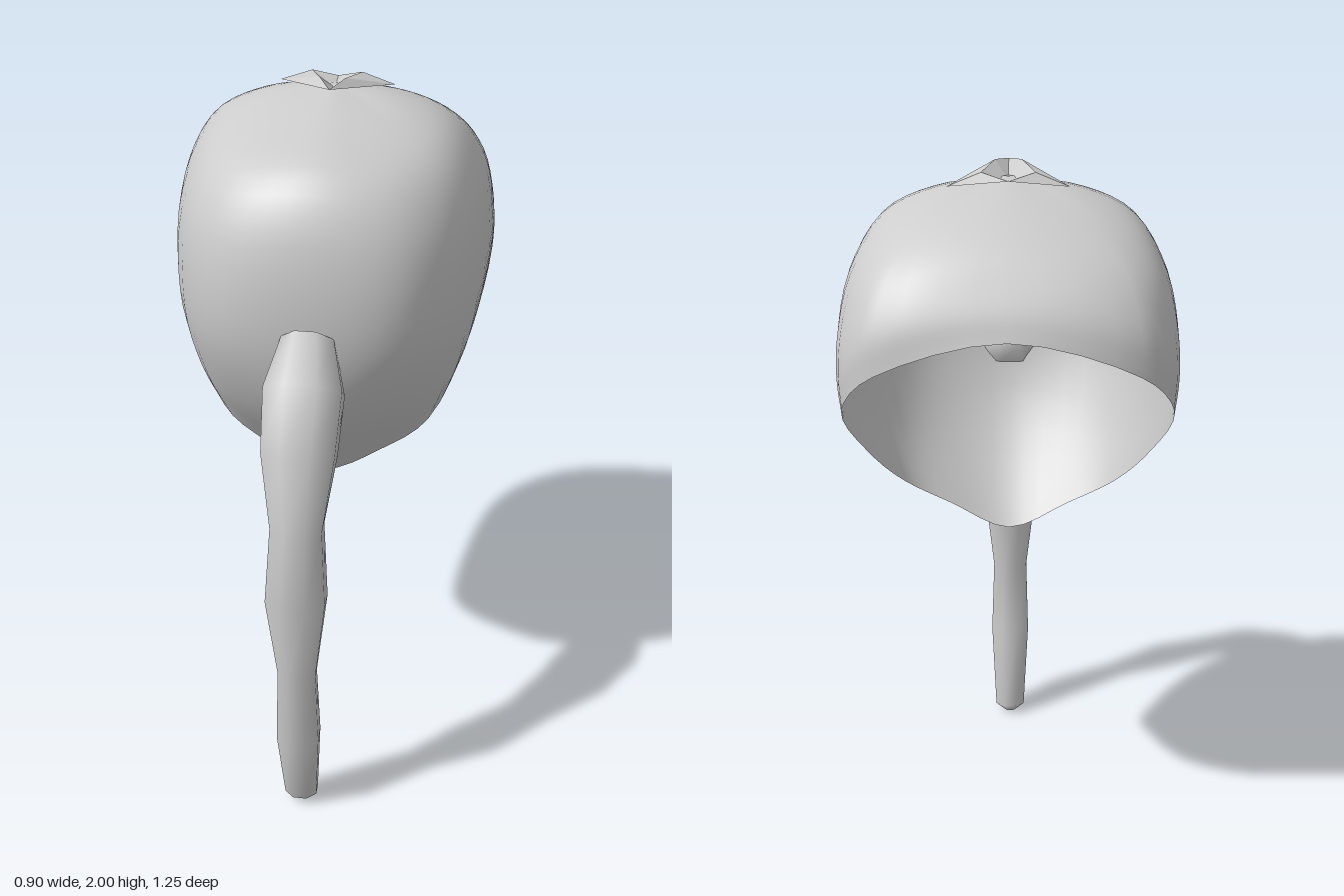
import * as THREE from 'three';

const V = (x, y, z) => new THREE.Vector3(x, y, z);

// Skin closed rings, ordered top to bottom and front -> +x -> back
function skin(rings, capBottom) {
  const n = rings[0].length;
  const last = (rings.length - 1) * n;
  const index = [];
  for (let j = 0; j < rings.length - 1; j++) {
    for (let i = 0; i < n; i++) {
      const a = j * n + i, c = j * n + (i + 1) % n;
      index.push(a, a + n, c, c, a + n, c + n);
    }
  }
  for (let i = 1; i < n - 1; i++) {
    index.push(0, i, i + 1);
    if (capBottom) index.push(last, last + i + 1, last + i);
  }
  const g = new THREE.BufferGeometry().setFromPoints(rings.flat());
  g.setIndex(index);
  g.computeVertexNormals();
  return g;
}

// Half-hood meridians from front to back, each running from crown to rim
const crown = [0, 1.968, -0.2];
const meridians = [
  [[0, 1.92, 0.02], [0, 1.86, 0.22], [0, 1.71, 0.31], [0, 1.42, 0.335], [0, 1.18, 0.27], [0, 0.87, 0.04]],
  [[0.1, 1.915, 0], [0.19, 1.84, 0.18], [0.23, 1.69, 0.265], [0.235, 1.42, 0.285], [0.21, 1.18, 0.2], [0.17, 0.95, 0.035]],
  [[0.19, 1.91, -0.05], [0.3, 1.83, 0.06], [0.36, 1.68, 0.12], [0.375, 1.42, 0.12], [0.35, 1.2, 0.05], [0.3, 1.035, -0.01]],
  [[0.18, 1.94, -0.2], [0.33, 1.87, -0.2], [0.415, 1.73, -0.2], [0.445, 1.52, -0.2], [0.435, 1.38, -0.2], [0.395, 1.21, -0.21]],
  [[0.17, 1.93, -0.28], [0.31, 1.86, -0.33], [0.39, 1.75, -0.4], [0.425, 1.62, -0.44], [0.435, 1.51, -0.455], [0.43, 1.41, -0.455]],
  [[0.13, 1.93, -0.3], [0.22, 1.87, -0.4], [0.29, 1.79, -0.49], [0.32, 1.71, -0.545], [0.335, 1.63, -0.575], [0.335, 1.54, -0.585]],
  [[0, 1.94, -0.31], [0, 1.9, -0.4], [0, 1.83, -0.5], [0, 1.76, -0.56], [0, 1.7, -0.6], [0, 1.64, -0.625]],
];

function hoodGeometry(rows = 24, around = 48) {
  const curves = meridians.map(m =>
    new THREE.CatmullRomCurve3([crown, ...m].map(p => V(...p))));
  const rings = [];
  for (let j = 0; j <= rows; j++) {
    const t = 0.01 + 0.99 * j / rows;
    const half = curves.map(c => c.getPoint(t));
    const mirrored = half.slice(1, -1).reverse().map(p => V(-p.x, p.y, p.z));
    const loop = new THREE.CatmullRomCurve3([...half, ...mirrored], true);
    rings.push(Array.from({ length: around }, (_, i) => loop.getPoint(i / around)));
  }
  return skin(rings, false);
}

// Trunk sections: front z, y; back z, y; half width
const trunkSections = [
  [0.366, 1.496, 0.25, 1.37, 0.07],
  [0.467, 1.39, 0.33, 1.28, 0.105],
  [0.562, 1.23, 0.41, 1.16, 0.098],
  [0.596, 1.0, 0.473, 1.0, 0.07],
  [0.63, 0.78, 0.49, 0.78, 0.082],
  [0.595, 0.525, 0.515, 0.525, 0.053],
  [0.594, 0.27, 0.49, 0.31, 0.06],
  [0.535, 0.03, 0.455, 0.035, 0.046],
  [0.505, 0.003, 0.478, 0.005, 0.015],
];

function trunkGeometry(sides = 8) {
  const k = 1 / Math.cos(Math.PI / sides);
  return skin(trunkSections.map(([fz, fy, bz, by, w]) =>
    Array.from({ length: sides }, (_, i) => {
      const a = (i + 0.5) / sides * Math.PI * 2;
      const c = Math.cos(a) * k / 2, s = Math.sin(a) * k;
      return V(w * s, (fy + by) / 2 + (fy - by) * c, (fz + bz) / 2 + (fz - bz) * c);
    })), true);
}

// Small gathered fold: two mirrored wings meeting in a forward point
function foldGeometry() {
  const tip = V(0, 1.99, -0.08), notch = V(0, 1.955, -0.2), back = V(0, 1.965, -0.27);
  const tris = [];
  for (const s of [1, -1]) {
    const ridge = V(0.035 * s, 2, -0.15);
    const shoulder = V(0.07 * s, 1.985, -0.25);
    const wing = V(0.16 * s, 1.95, -0.26);
    const faces = [
      [tip, ridge, notch], [notch, ridge, shoulder], [notch, shoulder, back],
      [tip, wing, ridge], [ridge, wing, shoulder], [shoulder, wing, back],
    ];
    for (const [a, b, c] of faces) tris.push(...(s > 0 ? [a, b, c] : [a, c, b]));
  }
  const g = new THREE.BufferGeometry().setFromPoints(tris);
  g.computeVertexNormals();
  return g;
}

export function createModel() {
  const grey = new THREE.MeshStandardMaterial({ color: 0xcccccc, side: THREE.DoubleSide });
  grey.name = 'light grey';
  const model = new THREE.Group();
  model.name = 'hoodWithTrunk';
  const add = (name, geometry) => {
    const mesh = new THREE.Mesh(geometry, grey);
    mesh.name = name;
    model.add(mesh);
  };
  add('hood', hoodGeometry());
  add('crownFold', foldGeometry());
  add('trunk', trunkGeometry());
  return model;
}
